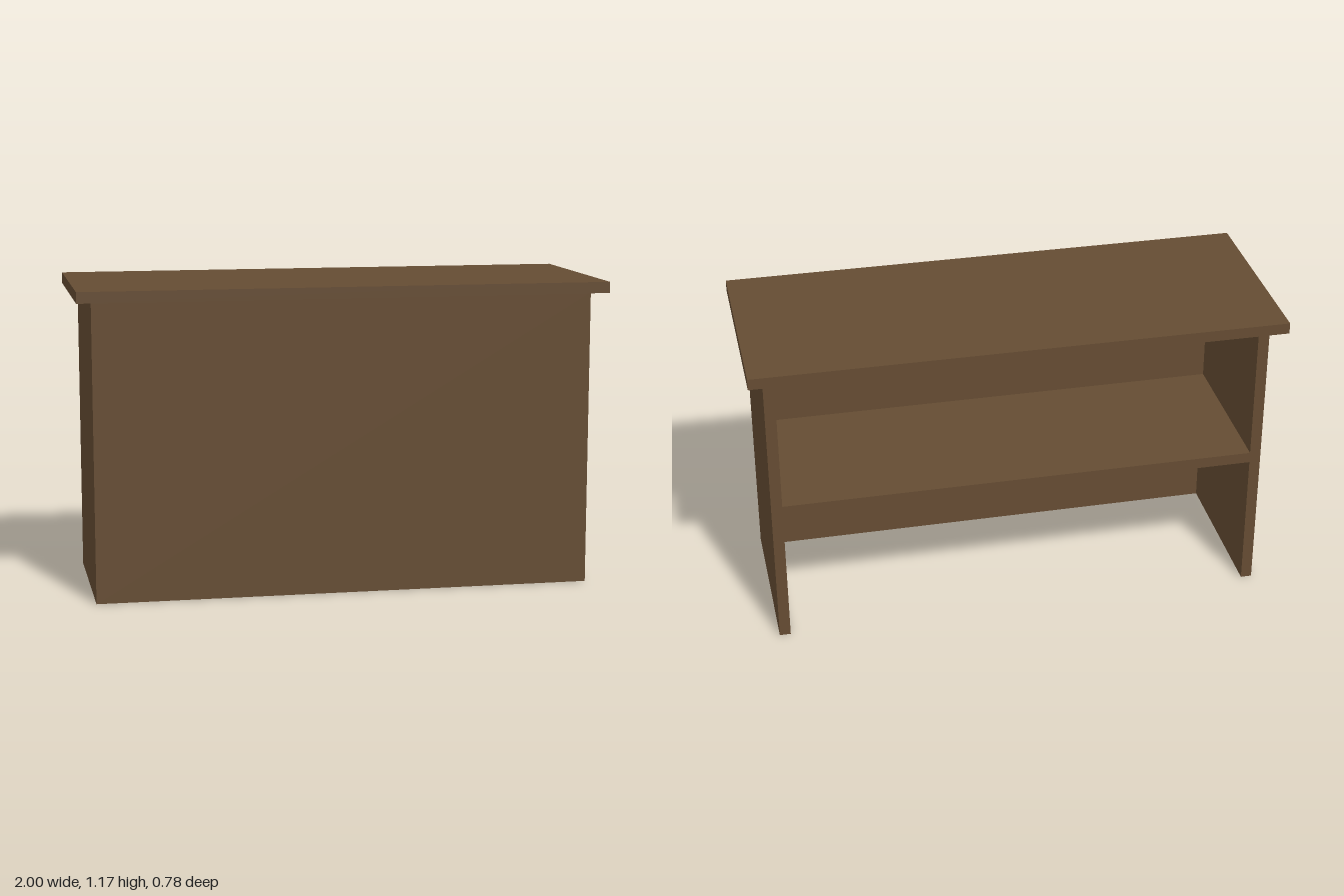
import * as THREE from 'three';

export function createModel() {
  const group = new THREE.Group();
  const wood = new THREE.MeshStandardMaterial({ color: 0x654c33 });
  wood.name = 'dark brown wood';

  const t = 0.042;                       // board thickness
  const halfW = 0.944, halfD = 0.333;    // body half width and depth
  const bodyH = 1.125;

  // Board given by its minimum and maximum corners
  function board(name, [x0, y0, z0], [x1, y1, z1]) {
    const mesh = new THREE.Mesh(new THREE.BoxGeometry(x1 - x0, y1 - y0, z1 - z0), wood);
    mesh.position.set((x0 + x1) / 2, (y0 + y1) / 2, (z0 + z1) / 2);
    mesh.name = name;
    group.add(mesh);
  }

  // Overhanging counter top
  board('counterTop', [-1, bodyH, -0.389], [1, bodyH + t, 0.389]);

  // Full-width front panel
  board('frontPanel', [-halfW, 0, halfD - t], [halfW, bodyH, halfD]);

  // Side panels behind the front
  board('leftSide', [halfW - t, 0, -halfD], [halfW, bodyH, halfD - t]);
  board('rightSide', [-halfW, 0, -halfD], [-halfW + t, bodyH, halfD - t]);

  // Middle shelf, open to the back
  const shelfY = bodyH / 2;
  board('shelf', [-halfW + t, shelfY - t / 2, -halfD], [halfW - t, shelfY + t / 2, halfD - t]);

  return group;
}
